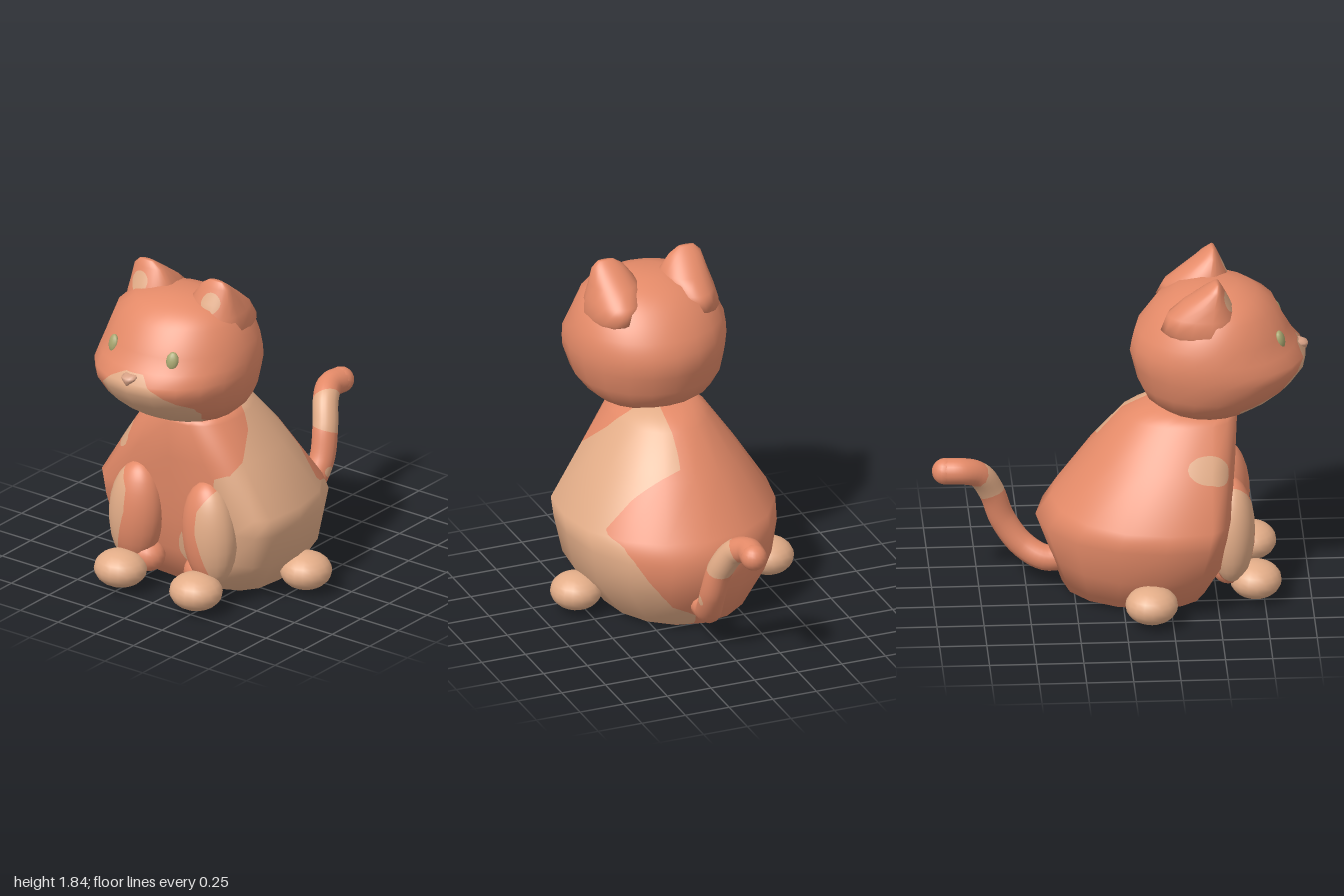
import * as THREE from 'three';

const mat = (name, color) => {
  const m = new THREE.MeshStandardMaterial({ color });
  m.name = name;
  return m;
};

// Closed loft of rounded rings: [y, halfWidth, zFront, zBack, zMid, squareness of the front, xCentre, tilt]
function loft(rows, sides) {
  const pos = [], idx = [];
  for (const [y, w, zf, zb, zm = (zf + zb) / 2, e = 2, xc = 0, tilt = 0] of rows) {
    for (let j = 0; j < sides; j++) {
      const a = (j / sides) * Math.PI * 2, s = Math.sin(a), c = Math.cos(a);
      const p = c > 0 ? 2 / e : 1;
      const bend = (v) => Math.sign(v) * Math.abs(v) ** p;
      pos.push(xc + w * bend(s), y - tilt * c, zm + (c > 0 ? zf - zm : zm - zb) * bend(c));
    }
  }
  const n = rows.length, at = (i, j) => i * sides + (j % sides);
  for (const r of [rows[0], rows[n - 1]]) pos.push(r[6] ?? 0, r[0], (r[2] + r[3]) / 2);
  for (let j = 0; j < sides; j++) {
    for (let i = 0; i < n - 1; i++) {
      idx.push(at(i, j), at(i, j + 1), at(i + 1, j + 1), at(i, j), at(i + 1, j + 1), at(i + 1, j));
    }
    idx.push(n * sides, at(0, j + 1), at(0, j), n * sides + 1, at(n - 1, j), at(n - 1, j + 1));
  }
  const g = new THREE.BufferGeometry();
  g.setAttribute('position', new THREE.Float32BufferAttribute(pos, 3));
  g.setIndex(idx);
  g.computeVertexNormals();
  return g;
}

// Signed distance to a polygon, positive inside
function inPoly(poly, a, b) {
  let d = Infinity, inside = false;
  poly.forEach(([x1, y1], i) => {
    const [x2, y2] = poly[(i + 1) % poly.length], dx = x2 - x1, dy = y2 - y1;
    const t = THREE.MathUtils.clamp(((a - x1) * dx + (b - y1) * dy) / (dx * dx + dy * dy), 0, 1);
    d = Math.min(d, Math.hypot(a - x1 - t * dx, b - y1 - t * dy));
    if ((y1 > b) !== (y2 > b) && a < x1 + ((b - y1) / dy) * dx) inside = !inside;
  });
  return inside ? d : -d;
}
const blob = (a, b, ca, cb, ra, rb) => (1 - Math.hypot((a - ca) / ra, (b - cb) / rb)) * Math.min(ra, rb);

// Cuts a surface along rule = 0 into two material groups: base coat and patch
function paint(geometry, rule, depth = 3) {
  const g = geometry.toNonIndexed(), P = g.attributes.position, N = g.attributes.normal;
  const out = [[], []];
  const mix = (u, v, t) => u.map((k, i) => k + (v[i] - k) * t);
  const clip = (tri, vals, sign, list) => {
    const keep = [];
    for (let i = 0; i < 3; i++) {
      const k = (i + 1) % 3, f = vals[i] * sign, h = vals[k] * sign;
      if (f >= 0) keep.push(tri[i]);
      if ((f >= 0) !== (h >= 0)) keep.push(mix(tri[i], tri[k], f / (f - h)));
    }
    for (let i = 2; i < keep.length; i++) list.push(keep[0], keep[i - 1], keep[i]);
  };
  const cut = (a, b, c, d) => {
    if (d > 0) {
      const ab = mix(a, b, 0.5), bc = mix(b, c, 0.5), ca = mix(c, a, 0.5);
      cut(a, ab, ca, d - 1); cut(ab, b, bc, d - 1); cut(ca, bc, c, d - 1); cut(ab, bc, ca, d - 1);
      return;
    }
    const vals = [a, b, c].map((p) => rule(p[0], p[1], p[2]) || 1e-7);
    clip([a, b, c], vals, -1, out[0]);
    clip([a, b, c], vals, 1, out[1]);
  };
  const v = (i) => [P.getX(i), P.getY(i), P.getZ(i), N.getX(i), N.getY(i), N.getZ(i)];
  for (let i = 0; i < P.count; i += 3) cut(v(i), v(i + 1), v(i + 2), depth);
  const all = [...out[0], ...out[1]], res = new THREE.BufferGeometry();
  res.setAttribute('position', new THREE.Float32BufferAttribute(all.flatMap((p) => p.slice(0, 3)), 3));
  res.setAttribute('normal', new THREE.Float32BufferAttribute(all.flatMap((p) => p.slice(3)), 3));
  res.addGroup(0, out[0].length, 0);
  res.addGroup(out[0].length, out[1].length, 1);
  return res;
}

export function createModel() {
  const cat = new THREE.Group();
  const orange = mat('orange fur', 0xe48a68), tan = mat('tan fur', 0xe3ad88);
  const green = mat('green eyes', 0xa8a670), pink = mat('nose', 0xd8a286);
  const fur = [orange, tan];
  const add = (name, geo, material) => {
    const m = new THREE.Mesh(geo, material);
    m.name = name;
    cat.add(m);
    return m;
  };
  const ball = (name, material, p, s, w = 18, h = 12) => {
    const m = add(name, new THREE.SphereGeometry(1, w, h), material);
    m.position.set(...p);
    m.scale.set(...s);
    return m;
  };

  // Body, with a large patch over its left flank and a few small spots
  const flank = [[0.24, 1.2], [0.26, 1.05], [0.32, 0.95], [0.45, 0.83], [0.56, 0.75], [0.62, 0.7], [0.8, 0.7],
    [0.8, 0.015], [-0.32, 0.03], [-0.31, 0.25], [-0.28, 0.42], [-0.2, 0.5], [-0.07, 0.55], [-0.1, 0.75],
    [-0.13, 0.84], [-0.06, 0.94], [-0.02, 1.2]];
  const body = loft([
    [0.004, 0.3, 0.26, -0.12, 0.1],
    [0.028, 0.385, 0.45, -0.31, 0.14, 3],
    [0.23, 0.54, 0.53, -0.38, 0.18, 4],
    [0.42, 0.57, 0.56, -0.45, 0.21, 4.6],
    [0.53, 0.58, 0.575, -0.37, 0.23, 4.6],
    [0.8, 0.41, 0.61, -0.18, 0.29, 3.2],
    [1.01, 0.265, 0.62, 0, 0.35, 2.5],
    [1.06, 0.2, 0.58, 0.17, 0.36, 2.2, 0, 0.03],
  ], 16);
  add('body', paint(body, (x, y, z) => Math.max(
    Math.min(inPoly(flank, z, y), x - 0.05 - Math.max(0, z - 0.3) * 0.8),
    (1 - Math.hypot((x + 0.36) / 0.075, (y - 0.8) / 0.09, (z - 0.45) / 0.13)) * 0.08,
    Math.min(blob(x, y, 0.08, 0.27, 0.07, 0.11), z - 0.3),
    Math.min(blob(x, z, -0.25, 0.17, 0.07, 0.05), 0.1 - y),
  )), fur);

  // Head, with a pale muzzle
  const muzzle = [[-0.33, 1.1], [-0.23, 1.19], [-0.2, 1.3], [-0.12, 1.37], [-0.04, 1.41], [0.07, 1.41],
    [0.12, 1.36], [0.2, 1.3], [0.3, 1.22], [0.3, 1.17], [0.26, 1.11], [0.22, 0.95], [-0.22, 0.95]];
  const head = loft([
    [1.033, 0.17, 0.62, 0.32],
    [1.07, 0.28, 0.72, 0.2],
    [1.12, 0.34, 0.81, 0.13],
    [1.2, 0.4, 0.91, 0.09],
    [1.3, 0.425, 0.98, 0.065, 0.52, 2.1],
    [1.36, 0.43, 0.98, 0.05, 0.51, 2.15],
    [1.42, 0.425, 0.93, 0.06, 0.5, 2.1],
    [1.5, 0.41, 0.885, 0.085],
    [1.63, 0.355, 0.82, 0.18],
    [1.7, 0.26, 0.72, 0.29],
    [1.735, 0.12, 0.62, 0.4],
  ], 20);
  add('head', paint(head, (x, y, z) => Math.min(inPoly(muzzle, x, y), z - 0.62)), fur);

  add('nose', loft([
    [1.348, 0.01, 0.985, 0.94], [1.375, 0.038, 0.995, 0.93],
    [1.39, 0.046, 0.992, 0.92], [1.402, 0.034, 0.97, 0.9],
  ], 12), pink);

  // Tail: a curved tube with rounded tip, a pale band and a spot
  const path = new THREE.CatmullRomCurve3([
    [0.02, 0.16, -0.28], [0.02, 0.155, -0.4], [0.06, 0.22, -0.52], [0.08, 0.36, -0.62], [0.06, 0.53, -0.68],
    [0.01, 0.65, -0.75], [-0.03, 0.69, -0.84], [-0.025, 0.69, -0.93],
  ].map((p) => new THREE.Vector3(...p)));
  add('tail', paint(new THREE.TubeGeometry(path, 40, 0.07, 12), (x, y, z) => Math.max(
    0.12 - Math.hypot(x - 0.07, y - 0.61, z + 0.71), 0.03 - Math.hypot(x - 0.14, y - 0.32, z + 0.6)), 1), fur);
  ball('tailTip', orange, [-0.025, 0.69, -0.93], [0.07, 0.07, 0.07]);

  for (const s of [1, -1]) {
    const side = s > 0 ? 'left' : 'right';

    // Ears rising out of the crown and sloping into its back, with pale inner faces
    const ear = loft([
      [1.48, 0.1, 0.6, 0.34, 0.47, 2, s * 0.24],
      [1.58, 0.137, 0.61, 0.2, 0.46, 2, s * 0.233],
      [1.66, 0.143, 0.6, 0.235, 0.47, 2, s * 0.208],
      [1.73, 0.13, 0.57, 0.32, 0.48, 2, s * 0.202],
      [1.81, 0.09, 0.53, 0.43, 0.495, 2, s * 0.222],
      [1.845, 0.045, 0.512, 0.48, 0.5, 2, s * 0.23],
    ], 16);
    add(side + 'Ear', paint(ear, (x, y, z) =>
      Math.min(blob(Math.abs(x), y, 0.235, 1.735, 0.055, 0.055), z - 0.48)), fur);

    // Eyes
    const eye = ball(side + 'Eye', green, [s * 0.195, 1.49, 0.837], [0.034, 0.05, 0.022], 14, 10);
    eye.rotation.set(-0.25, s * 0.4, 0);

    // Front legs, pale on the outside
    const leg = new THREE.SphereGeometry(1, 16, 12);
    leg.scale(0.158, 0.295, 0.125).rotateZ(s * 0.08).translate(s * 0.242, 0.41, 0.575);
    add(side + 'FrontLeg', paint(leg, (x, y) => Math.min(
      Math.abs(x) - 0.235 - Math.max(0, 0.45 - y) * 0.28 - Math.max(0, y - 0.57) * 0.6, 0.68 - y), 2), fur);
    ball(side + 'Ankle', orange, [s * 0.18, 0.17, 0.56], [0.1, 0.09, 0.09]);

    // Paws
    ball(side + 'FrontPaw', tan, [s * 0.25, 0.125, 0.703], [0.145, 0.1, 0.138]);
    ball(side + 'RearPaw', tan, [s * 0.55, 0.125, 0.135], [0.138, 0.1, 0.14]);
  }
  return cat;
}
